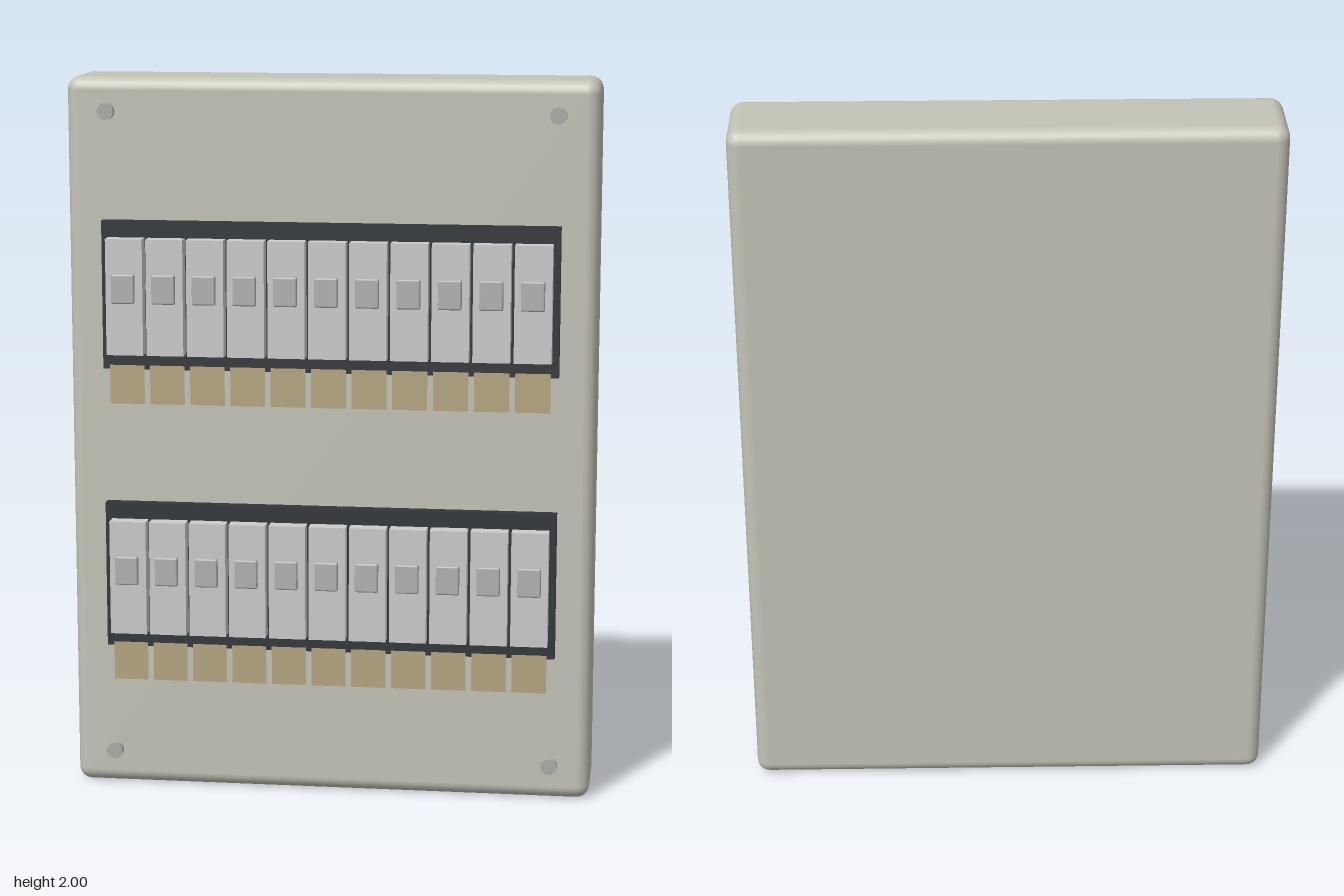
import * as THREE from 'three';
import { RoundedBoxGeometry } from 'three/addons/geometries/RoundedBoxGeometry.js';

const mat = (color, side = THREE.FrontSide) => new THREE.MeshStandardMaterial({ color, side });

export function createModel() {
  const model = new THREE.Group();
  const enclosureMat = mat(0xc4c3b7);
  const trayMat = mat(0x33373a);
  const breakerMat = mat(0xd0d3cf);
  const toggleMat = mat(0xb0b3b1);
  const screwMat = mat(0xaaada9);
  const labelMat = mat(0xb5a582, THREE.DoubleSide);

  const add = (parent, name, geometry, material, x, y, z) => {
    const mesh = new THREE.Mesh(geometry, material);
    mesh.name = name;
    mesh.position.set(x, y, z);
    parent.add(mesh);
    return mesh;
  };

  // Wall box with softened edges
  add(model, 'enclosure', new RoundedBoxGeometry(1.454, 2, 0.246, 3, 0.036), enclosureMat, 0, 1, -0.049);

  // Corner screws
  const screwGeo = new THREE.CylinderGeometry(0.023, 0.023, 0.022, 16).rotateX(Math.PI / 2);
  for (const x of [-0.615, 0.615])
    for (const y of [0.098, 1.907]) add(model, 'screw', screwGeo, screwMat, x, y, 0.081);

  // Two breaker rows: backing tray, breakers, toggles and label flaps
  const trayGeo = new THREE.BoxGeometry(1.255, 0.41, 0.032);
  const breakerGeo = new THREE.BoxGeometry(0.102, 0.32, 0.044);
  const toggleGeo = new RoundedBoxGeometry(0.064, 0.081, 0.018, 2, 0.005);
  const labelGeo = new THREE.PlaneGeometry(0.096, 0.108);
  const count = 11, pitch = 0.1116;
  for (const [name, y] of [['lowerRow', 0.618], ['upperRow', 1.406]]) {
    const row = new THREE.Group();
    row.name = name;
    row.position.y = y;
    model.add(row);
    add(row, 'tray', trayGeo, trayMat, 0, 0, 0.088);
    for (let i = 0; i < count; i++) {
      const x = (i - (count - 1) / 2) * pitch;
      add(row, 'breaker', breakerGeo, breakerMat, x, 0, 0.125);
      add(row, 'toggle', toggleGeo, toggleMat, x, 0.026, 0.163);
      add(row, 'label', labelGeo, labelMat, x, -0.246, 0.115);
    }
  }
  return model;
}
